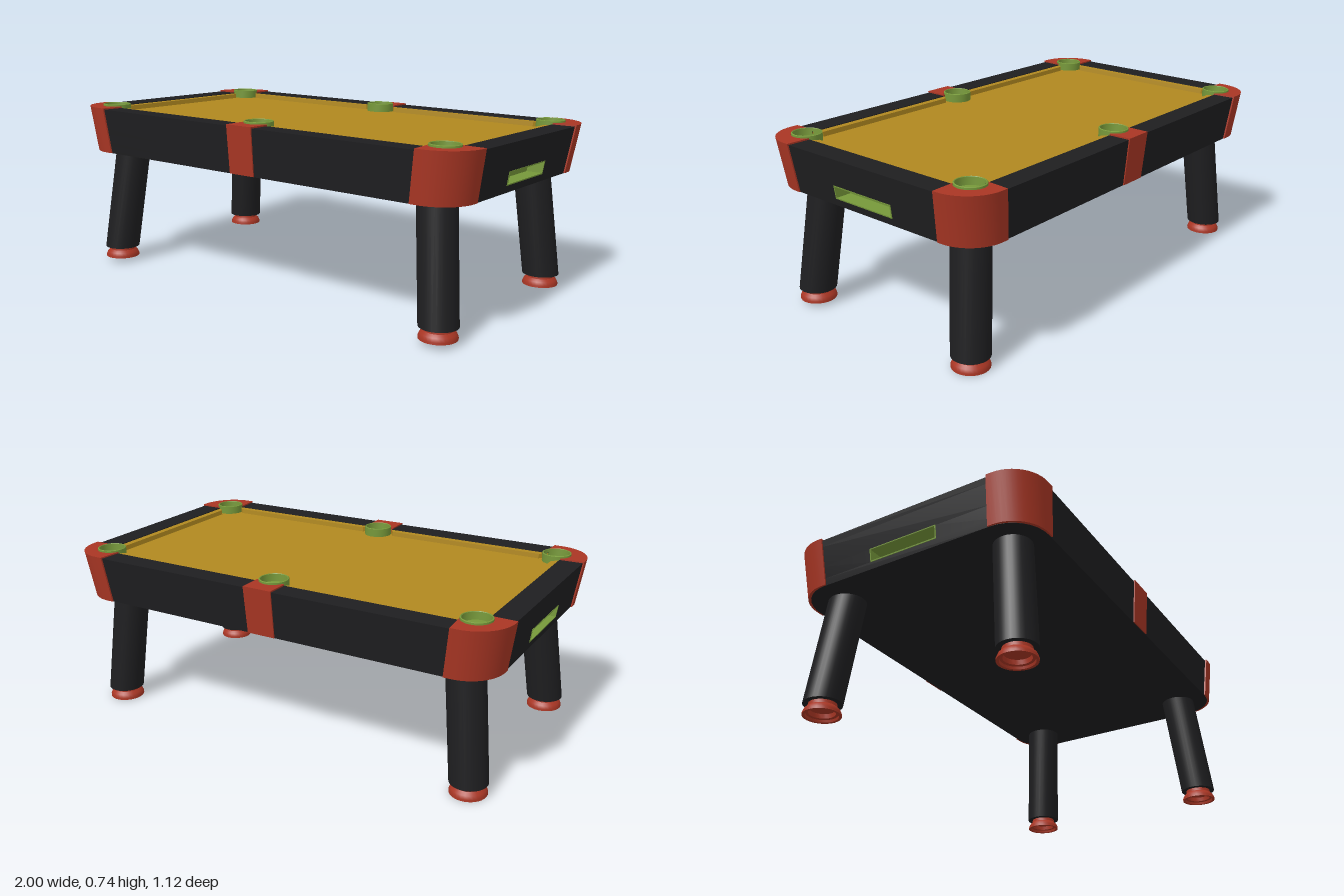
import * as THREE from 'three';
import { toCreasedNormals } from 'three/addons/utils/BufferGeometryUtils.js';

const paint = (color) => new THREE.MeshStandardMaterial({ color, side: THREE.DoubleSide });
const BLACK = paint(0x1e1e20), RED = paint(0xa93624), GREEN = paint(0x76983a), CLOTH = paint(0xb0881f);
const BOTTOM = 0.507, BED = 0.68, RAIL = 0.703, TRIM = 0.709;

const mesh = (name, geometry, material) => {
  const m = new THREE.Mesh(geometry, material);
  m.name = name;
  return m;
};

// The whole cabinet narrows towards its underside
function taper(geometry) {
  const p = geometry.attributes.position;
  for (let i = 0; i < p.count; i++) {
    const k = 1 - 0.16 * (TRIM - p.getY(i));
    p.setX(i, p.getX(i) * k);
    p.setZ(i, p.getZ(i) * k);
  }
  return toCreasedNormals(geometry, 0.6);
}

// Flat outline in x and z, given height between two levels
function slab(points, low, high) {
  const shape = new THREE.Shape(points.map(([x, z]) => new THREE.Vector2(x, z)));
  const g = new THREE.ExtrudeGeometry(shape, { depth: high - low, bevelEnabled: false });
  g.rotateX(Math.PI / 2).translate(0, high, 0);
  return taper(g);
}

function arc(cx, cz, r, from, to, steps) {
  const pts = [];
  for (let i = 0; i <= steps; i++) {
    const a = THREE.MathUtils.degToRad(from + ((to - from) * i) / steps);
    pts.push([cx + r * Math.cos(a), cz + r * Math.sin(a)]);
  }
  return pts;
}

// Rounded cabinet outline, optionally notched at both ends for the ball trays
function cabinetOutline(notched) {
  const hx = 0.994, hz = 0.553, r = 0.16, x = hx - r, z = hz - r, w = 0.155, d = hx - 0.07;
  const notch = (s) => (notched ? [[s * hx, -s * w], [s * d, -s * w], [s * d, s * w], [s * hx, s * w]] : []);
  return [
    ...arc(x, z, r, 0, 90, 8), ...arc(-x, z, r, 90, 180, 8), ...notch(-1),
    ...arc(-x, -z, r, 180, 270, 8), ...arc(x, -z, r, 270, 360, 8), ...notch(1),
  ];
}

export function createModel() {
  const table = new THREE.Group();
  table.name = 'poolTable';
  const add = (name, g, m) => table.add(mesh(name, g, m));
  const flip = (pts, sx, sz) => pts.map(([x, z]) => [x * sx, z * sz]);

  // Cabinet in three layers, the middle one notched
  add('cabinetBase', slab(cabinetOutline(false), BOTTOM, 0.537), BLACK);
  add('cabinetMiddle', slab(cabinetOutline(true), 0.537, 0.59), BLACK);
  add('cabinetTop', slab(cabinetOutline(false), 0.59, BED - 0.003), BLACK);
  add('playingCloth', slab([[-0.9, -0.465], [0.9, -0.465], [0.9, 0.465], [-0.9, 0.465]], BED - 0.01, BED), CLOTH);

  // Trim pieces wrap round their pockets
  const cornerTrim = [
    [0.815, 0.56], ...arc(0.845, 0.405, 0.155, 90, 0, 12), [1, 0.385],
    ...arc(0.865, 0.435, 0.062, -58, 158, 16),
  ];
  const middleTrim = [[-0.065, 0.558], [0.065, 0.558], [0.065, 0.46], ...arc(0, 0.435, 0.062, 24, 156, 12), [-0.065, 0.46]];

  // Pocket cup with a thin rim
  const cup = toCreasedNormals(new THREE.LatheGeometry(
    [[0, 0.686], [0.053, 0.686], [0.055, 0.716], [0.057, 0.718], [0.061, 0.716], [0.061, BED - 0.005]]
      .map(([x, y]) => new THREE.Vector2(x, y)), 28), 0.6);
  const addCup = (x, z) => {
    const m = mesh('pocket', cup, GREEN);
    m.position.set(x, 0, z);
    table.add(m);
  };

  // Leg leaning outwards with level ends
  const legGeometry = (sx, sz) => {
    const low = 0.047, high = 0.515;
    const g = new THREE.CylinderGeometry(0.077, 0.077, high - low, 28).translate(0, (high + low) / 2, 0);
    const p = g.attributes.position;
    for (let i = 0; i < p.count; i++) {
      const t = (p.getY(i) - low) / (high - low);
      p.setX(i, p.getX(i) + sx * (0.863 - 0.051 * t));
      p.setZ(i, p.getZ(i) + sz * (0.43 - 0.042 * t));
    }
    return toCreasedNormals(g, 0.6);
  };

  // Flared foot, hollow underneath
  const foot = toCreasedNormals(new THREE.LatheGeometry(
    [[0, 0.03], [0.05, 0.03], [0.052, 0.012], [0.062, 0.01], [0.064, 0], [0.075, 0], [0.075, 0.008],
      [0.069, 0.022], [0.057, 0.033], [0.055, 0.05]]
      .map(([x, y]) => new THREE.Vector2(x, y)), 28), 0.6);

  for (const sz of [-1, 1]) {
    add('middleTrim', slab(flip(middleTrim, 1, sz), BOTTOM + 0.001, TRIM), RED);
    addCup(0, sz * 0.435);
    for (const sx of [-1, 1]) {
      add('cornerTrim', slab(flip(cornerTrim, sx, sz), BOTTOM + 0.001, TRIM), RED);
      addCup(sx * 0.865, sz * 0.435);
      add('leg', legGeometry(sx, sz), BLACK);
      const f = mesh('foot', foot, RED);
      f.position.set(sx * 0.863, 0, sz * 0.43);
      table.add(f);

      // Long rail and cushion on each side of the middle pocket
      const rail = [[0.06, 0.46], [0.82, 0.46], [0.82, 0.553], [0.06, 0.553]];
      const cushion = [[0.058, 0.46], [0.08, 0.432], [0.79, 0.432], [0.82, 0.46]];
      add('longRail', slab(flip(rail, sx, sz), BED - 0.003, RAIL), BLACK);
      add('longCushion', slab(flip(cushion, sx, sz), BED, RAIL - 0.003), CLOTH);
    }
  }

  for (const s of [-1, 1]) {
    // End rail and cushion
    const rail = [[0.895, -0.39], [0.994, -0.39], [0.994, 0.39], [0.895, 0.39]];
    const cushion = [[0.895, -0.385], [0.866, -0.36], [0.866, 0.36], [0.895, 0.385]];
    add('endRail', slab(flip(rail, s, 1), BED - 0.003, RAIL), BLACK);
    add('endCushion', slab(flip(cushion, s, 1), BED, RAIL - 0.003), CLOTH);

    // Lining of the ball return slot: back, floor, ceiling, two sides
    const panel = (x0, x1, z0, z1, y0, y1) =>
      add('ballTray', slab(flip([[x0, z0], [x1, z0], [x1, z1], [x0, z1]], s, 1), y0, y1), GREEN);
    panel(0.92, 0.928, -0.156, 0.156, 0.536, 0.591);
    panel(0.92, 0.996, -0.156, 0.156, 0.536, 0.541);
    panel(0.92, 0.996, -0.156, 0.156, 0.587, 0.591);
    panel(0.92, 0.996, -0.156, -0.151, 0.536, 0.591);
    panel(0.92, 0.996, 0.151, 0.156, 0.536, 0.591);
  }

  // The table stands slightly tilted, front edge up
  table.rotation.x = -0.021;
  table.position.set(0, 0.0106, 0.0135);
  const model = new THREE.Group();
  model.name = 'model';
  model.add(table);
  return model;
}
